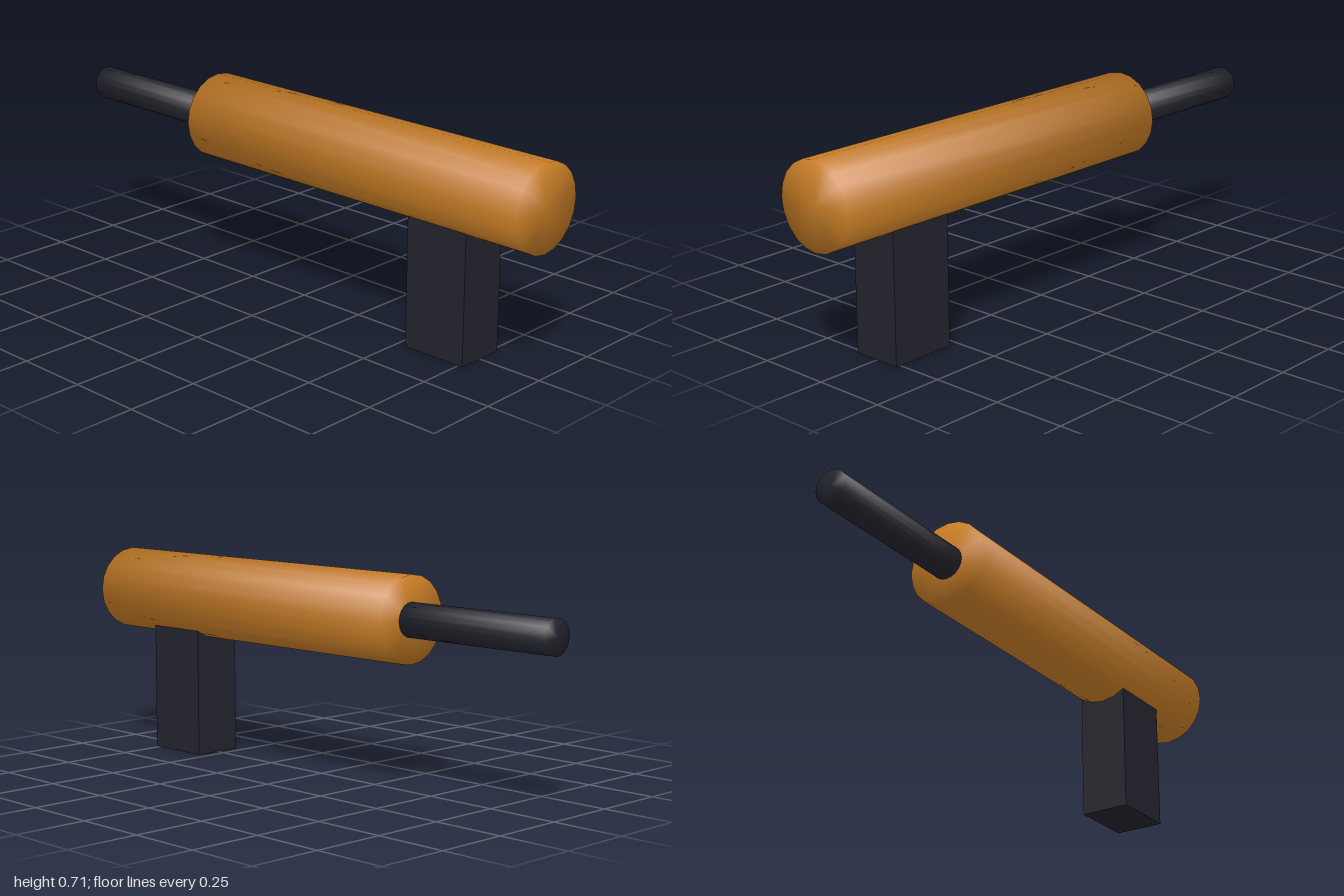
import * as THREE from 'three';

const orange = new THREE.MeshStandardMaterial({ color: 0xc47b25 });
orange.name = 'orange';
const charcoal = new THREE.MeshStandardMaterial({ color: 0x23232d });
charcoal.name = 'charcoal';

const AXIS_Y = 0.56;

// Cylinder along z whose shading rolls softly over the rims onto the caps
function softCylinder(name, radius, zBack, zFront, material) {
  const length = zFront - zBack;
  const geometry = new THREE.CylinderGeometry(radius, radius, length, 20);
  const { position, normal } = geometry.attributes;
  const n = new THREE.Vector3();
  for (let i = 0; i < position.count; i++) {
    n.fromBufferAttribute(position, i);
    n.set(n.x / radius, Math.sign(n.y) * 0.9, n.z / radius).normalize();
    normal.setXYZ(i, n.x, n.y, n.z);
  }
  geometry.rotateX(Math.PI / 2);
  const mesh = new THREE.Mesh(geometry, material);
  mesh.name = name;
  mesh.position.set(0, AXIS_Y, (zBack + zFront) / 2);
  return mesh;
}

export function createModel() {
  const model = new THREE.Group();
  model.name = 'model';

  // Thick main body and the thin rod leaving its back end
  model.add(softCylinder('body', 0.146, -0.41, 1, orange));
  model.add(softCylinder('rod', 0.058, -1, -0.4, charcoal));

  // Square post below the body, its top sunk into it
  const height = 0.48;
  const post = new THREE.Mesh(new THREE.BoxGeometry(0.175, height, 0.234), charcoal);
  post.name = 'post';
  post.position.set(0, height / 2, 0.65);
  model.add(post);

  return model;
}
